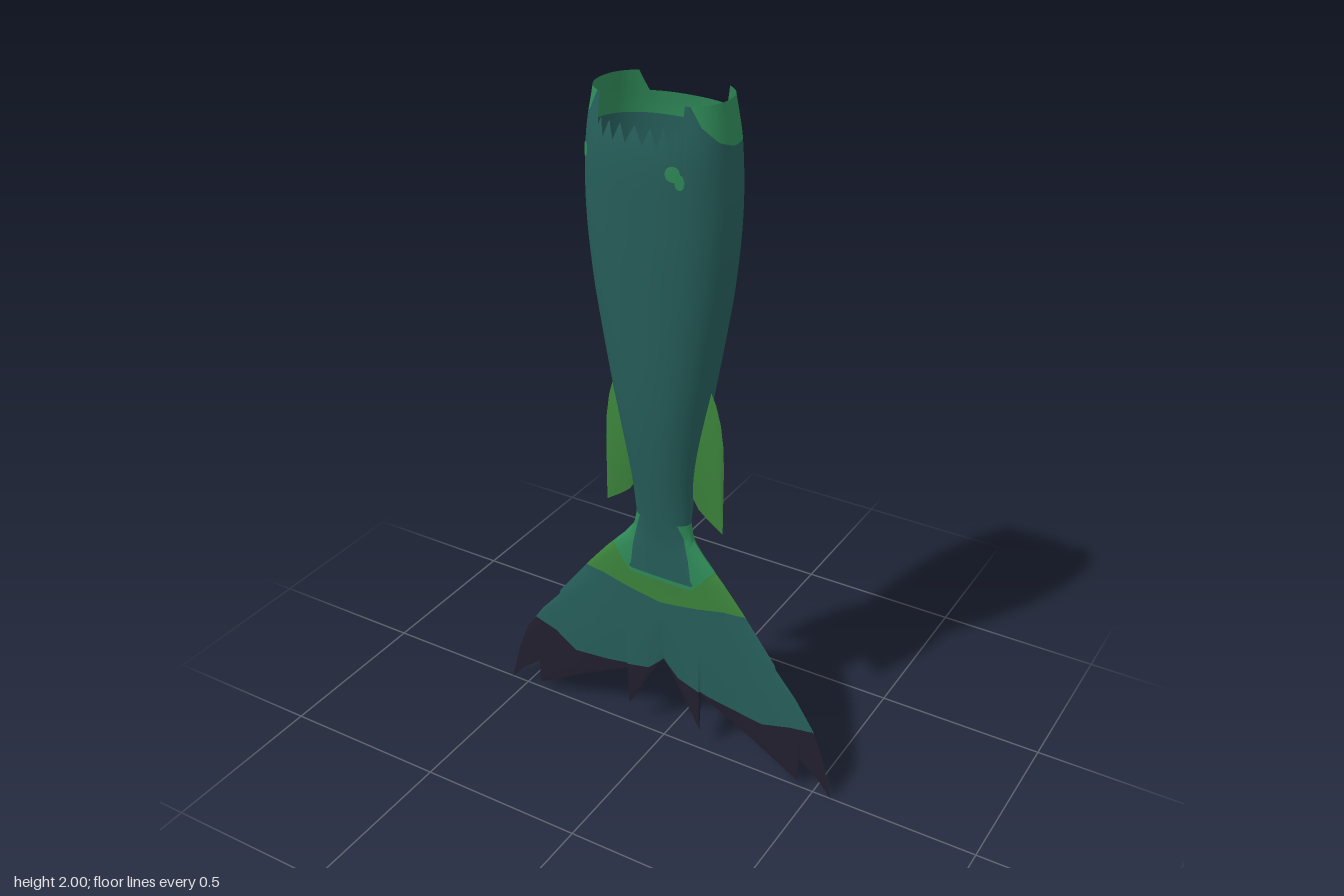
import * as THREE from 'three';

const mat = (name, color) => {
  const m = new THREE.MeshStandardMaterial({ color, side: THREE.DoubleSide });
  m.name = name;
  return m;
};

// Piecewise-linear function through [in, out] points, held constant outside.
const line = pts => v => {
  if (v <= pts[0][0]) return pts[0][1];
  for (let i = 1; i < pts.length; i++) {
    const [a, p] = pts[i - 1], [b, q] = pts[i];
    if (v <= b) return p + (q - p) * (v - a) / (b - a);
  }
  return pts[pts.length - 1][1];
};

// Smooth function through [in, out] points.
const smooth = pts => {
  const slope = i => {
    const a = pts[Math.max(i - 1, 0)], b = pts[Math.min(i + 1, pts.length - 1)];
    return (b[1] - a[1]) / (b[0] - a[0]);
  };
  return v => {
    let i = 1;
    while (i < pts.length - 1 && v > pts[i][0]) i++;
    const [a, p] = pts[i - 1], [b, q] = pts[i], h = b - a;
    const t = Math.min(1, Math.max(0, (v - a) / h)), t2 = t * t, t3 = t2 * t;
    return p * (2 * t3 - 3 * t2 + 1) + q * (3 * t2 - 2 * t3)
      + h * (slope(i - 1) * (t3 - 2 * t2 + t) + slope(i) * (t3 - t2));
  };
};

// Surface strip: one column per u, running from top(u) down to bottom(u).
function strip(name, material, us, top, bottom, rows, point, flip = false) {
  const pos = [], index = [], n = rows + 1;
  for (const u of us) {
    for (let r = 0; r <= rows; r++) {
      const y = top(u) + (bottom(u) - top(u)) * r / rows;
      pos.push(...point(u, y, r / rows));
    }
  }
  const height = u => top(u) - bottom(u);
  for (let c = 0; c < us.length - 1; c++) {
    if (height(us[c]) < 1e-5 && height(us[c + 1]) < 1e-5) continue;
    for (let r = 0; r < rows; r++) {
      const a = c * n + r, b = a + 1, d = a + n, e = d + 1;
      index.push(...(flip ? [a, d, b, b, d, e] : [a, b, d, b, e, d]));
    }
  }
  const g = new THREE.BufferGeometry();
  g.setAttribute('position', new THREE.Float32BufferAttribute(pos, 3));
  g.setIndex(index);
  g.computeVertexNormals();
  const mesh = new THREE.Mesh(g, material);
  mesh.name = name;
  return mesh;
}

const range = (a, b, n) => Array.from({ length: n + 1 }, (_, i) => a + (b - a) * i / n);
const mirrored = f => x => f(Math.abs(x));
const rad = Math.PI / 180;

export function createModel() {
  const model = new THREE.Group();
  const teal = mat('deep teal', 0x265e5a);
  const light = mat('sea green', 0x2f8a58);
  const olive = mat('leaf green', 0x3b823b);
  const dark = mat('dark violet', 0x221f2e);

  // Tail body: rounded sections, half width and half depth by height
  const JOIN = 0.78;
  const width = smooth([[JOIN, 0.085], [0.9, 0.095], [1, 0.11], [1.2, 0.144], [1.35, 0.17],
    [1.5, 0.193], [1.7, 0.208], [1.88, 0.2], [2, 0.182]]);
  const depth = smooth([[0, 0.004], [0.2, 0.008], [0.4, 0.014], [0.55, 0.02], [0.7, 0.03],
    [JOIN, 0.043], [1, 0.08], [1.2, 0.105], [1.5, 0.128], [1.7, 0.14], [1.88, 0.145], [2, 0.125]]);
  const pow = (v, e) => Math.sign(v) * Math.abs(v) ** e;
  const skin = off => (deg, y) => {
    const e = 1 - 0.13 * Math.min(1, Math.max(0, (y - JOIN) / 0.4));
    return [(width(y) + off) * pow(Math.sin(deg * rad), e), y,
      (depth(y) + off) * pow(Math.cos(deg * rad), e)];
  };

  // Torn waist rim: toothed in front, tall at the sides, lower at the back
  const sides = line([[35, 1.945], [37.5, 2], [137.5, 2], [147.5, 1.945]]);
  const rim = mirrored(a => a < 35 ? 1.945 - 0.045 * Math.abs(((a + 5) % 10) / 5 - 1) : sides(a));
  const bandLine = line([[42.5, 2], [52.5, 1.95], [70, 1.91], [90, 1.89], [180, 1.88]]);
  const band = d => Math.min(rim(d), bandLine(Math.abs(d)));
  const around = range(-180, 180, 144);
  model.add(strip('waistBand', light, around, rim, band, 5, skin(0)));
  model.add(strip('tailBody', teal, around, band, () => JOIN, 40, skin(0)));

  // Small spots below the rim
  for (const [deg, y, w, h] of [[27, 1.84, 6, 0.02], [32, 1.82, 4, 0.02], [-53, 1.845, 6, 0.02]]) {
    const arc = d => h * Math.sqrt(Math.max(0, 1 - ((d - deg) / w) ** 2));
    model.add(strip('spot', light, range(deg - w, deg + w, 10),
      d => y + arc(d), d => y - arc(d), 4, skin(0.0025)));
  }

  // Fluke: thin lens between an upper outline and a ragged trailing edge
  const upper = [[0.085, JOIN], [0.095, 0.73], [0.13, 0.685], [0.19, 0.62], [0.26, 0.535],
    [0.362, 0.4], [0.366, 0.385], [0.43, 0.31], [0.49, 0.22], [0.525, 0.13], [0.557, 0.005]];
  const trailing = [[0, 0.285], [0.06, 0.185], [0.122, 0.07], [0.125, 0.2], [0.28, 0.12],
    [0.449, 0.02], [0.453, 0.1], [0.51, 0.055], [0.557, 0]];
  const T = mirrored(line(upper)), B = mirrored(line(trailing));
  const reach = line(upper.map(([x, y]) => [y, x]).reverse());
  const flukePoint = side => (x, y) => {
    const across = Math.sqrt(Math.max(0, 1 - (x / reach(y)) ** 2));
    const fade = Math.sqrt(Math.min(1, Math.max(0, (y - B(x)) / 0.15)));
    return [x, y, side * depth(y) * across * fade];
  };

  // Colour borders across the fluke, listed from top to bottom
  const wing = [[0.1, 0.585], [0.13, 0.615], [0.17, 0.66]];
  const borders = [
    T,
    mirrored(line([[0.06, JOIN], [0.075, 0.74], [0.09, 0.67], ...wing])),
    mirrored(line([[0, 0.585], ...wing])),
    mirrored(line([[0, 0.572], [0.1, 0.572], [0.13, 0.605], [0.17, 0.655]])),
    mirrored(line([[0, 0.495], [0.1, 0.51], [0.2, 0.53], [0.3, 0.53]])),
    line([[-0.46, 0.27], [-0.38, 0.25], [-0.31, 0.2], [-0.2, 0.21], [-0.05, 0.235], [0, 0.285],
      [0.05, 0.235], [0.15, 0.205], [0.33, 0.18], [0.42, 0.205], [0.5, 0.215]]),
    B,
  ];
  const clamped = borders.map((f, i) => x => {
    let y = T(x);
    for (let k = 1; k <= i; k++) y = Math.min(y, Math.max(B(x), borders[k](x)));
    return y;
  });
  const half = [...range(0, 90, 36).map(d => 0.085 * Math.sin(d * rad)), ...range(0.09, 0.557, 60),
    ...upper.map(p => p[0]), ...trailing.map(p => p[0])];
  const columns = [...new Set([...half, ...half.map(x => -x)].map(x => +x.toFixed(5) + 0))]
    .sort((a, b) => a - b);
  const parts = [['flukeEdgeMark', light], ['flukeRoot', teal], ['flukeRootTrim', light],
    ['flukeBand', olive], ['flukeWeb', teal], ['flukeTips', dark]];
  for (const side of [1, -1]) {
    parts.forEach(([name, m], i) => model.add(strip(name, m, columns,
      clamped[i], clamped[i + 1], 10, flukePoint(side), side < 0)));
  }

  // Side fins: small lens-shaped blades rooted inside the body
  const finTop = mirrored(line([[0.09, 1.25], [0.14, 1.215], [0.16, 1.17], [0.175, 1.115],
    [0.184, 1.05], [0.187, 0.98]]));
  const finBottom = mirrored(line([[0.09, 0.87], [0.11, 0.835], [0.14, 0.81], [0.187, 0.778]]));
  for (const s of [1, -1]) {
    const fin = new THREE.Group();
    fin.name = s > 0 ? 'leftSideFin' : 'rightSideFin';
    const xs = [0.09, 0.11, 0.125, 0.14, 0.15, 0.16, 0.168, 0.175, 0.18, 0.184, 0.187].map(x => x * s);
    if (s < 0) xs.reverse();
    for (const face of [1, -1]) {
      fin.add(strip('finFace', olive, xs, finTop, finBottom, 14, (x, y, t) => {
        const taper = Math.sqrt(Math.max(0, (0.187 - Math.abs(x)) / 0.097));
        return [x, y, face * 0.016 * taper * Math.sin(Math.PI * t)];
      }, face < 0));
    }
    model.add(fin);
  }
  return model;
}
